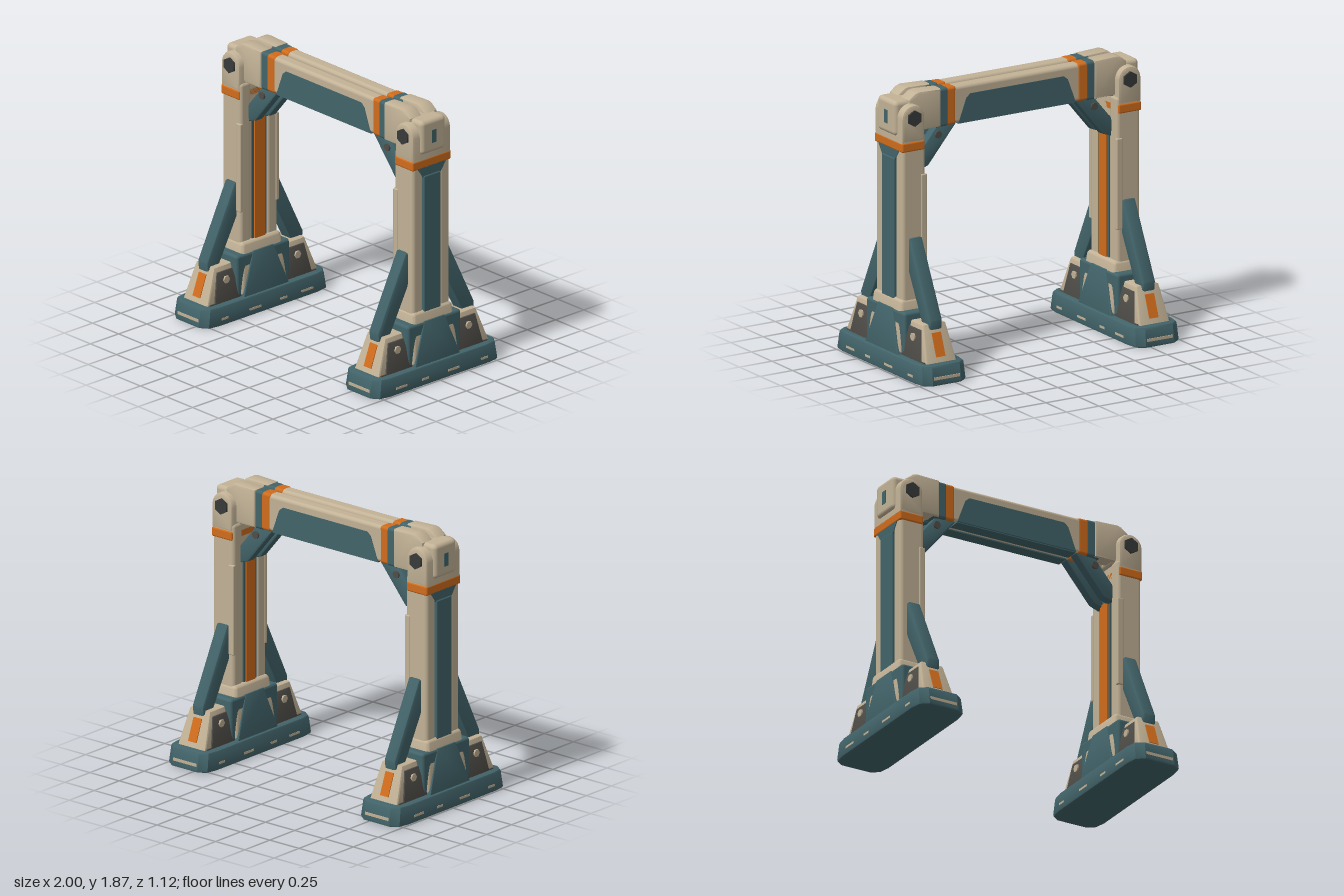
import * as THREE from 'three';
import { toCreasedNormals } from 'three/addons/utils/BufferGeometryUtils.js';
import { RoundedBoxGeometry } from 'three/addons/geometries/RoundedBoxGeometry.js';

const paint = (name, color) => {
  const m = new THREE.MeshStandardMaterial({ color });
  m.name = name;
  return m;
};

export function createModel() {
  const sand = paint('sand', 0xc2b296);
  const teal = paint('teal', 0x42646a);
  const orange = paint('orange', 0xd06c1c);
  const dark = paint('darkGrey', 0x504e49);
  const bolt = paint('boltGrey', 0x383a3a);

  const add = (parent, name, geo, mat) => {
    const mesh = new THREE.Mesh(geo, mat);
    mesh.name = name;
    parent.add(mesh);
  };

  // Rounded box given by its limits on each axis
  const box = (x0, x1, y0, y1, z0, z1, r = 0) => {
    const s = [x1 - x0, y1 - y0, z1 - z0];
    const g = r ? new RoundedBoxGeometry(...s, 3, r) : new THREE.BoxGeometry(...s);
    return g.translate((x0 + x1) / 2, (y0 + y1) / 2, (z0 + z1) / 2);
  };

  // Extruded outline, centred on its own depth, edges bevelled inward
  const outline = pts => new THREE.Shape(pts.map(p => new THREE.Vector2(...p)));
  const plate = (shape, depth, b = 0) => {
    const g = new THREE.ExtrudeGeometry(shape, {
      depth: depth - 2 * b, bevelEnabled: b > 0, bevelThickness: b, bevelSize: b,
      bevelOffset: -b, bevelSegments: 2, curveSegments: 12,
    });
    return g.translate(0, 0, -(depth - 2 * b) / 2);
  };
  // Outline given as (z, y), extruded along x
  const sidePlate = (pts, depth, b) => plate(outline(pts), depth, b).rotateY(-Math.PI / 2);

  // Scale x and z by height: full size at y0, (kx, kz) at y1
  const taper = (g, y0, y1, kx, kz = 1) => {
    const p = g.attributes.position;
    for (let i = 0; i < p.count; i++) {
      const t = (p.getY(i) - y0) / (y1 - y0);
      p.setX(i, p.getX(i) * (1 + (kx - 1) * t));
      p.setZ(i, p.getZ(i) * (1 + (kz - 1) * t));
    }
    return toCreasedNormals(g, 0.6);
  };

  const CX = 0.82;

  function makeLeg() {
    const leg = new THREE.Group();

    // Base pad with cut corners
    const foot = new THREE.Group();
    foot.name = 'foot';
    foot.position.x = CX;
    leg.add(foot);
    const pad = [[-0.11, -0.56], [0.11, -0.56], [0.165, -0.52], [0.18, -0.44], [0.18, 0.44], [0.165, 0.52],
      [0.11, 0.56], [-0.11, 0.56], [-0.165, 0.52], [-0.18, 0.44], [-0.18, -0.44], [-0.165, -0.52]];
    const padGeo = plate(outline(pad), 0.135, 0.015).rotateX(-Math.PI / 2).translate(0, 0.0675 - 0.015 + 0.015, 0);
    padGeo.computeBoundingBox();
    padGeo.translate(0, -padGeo.boundingBox.min.y, 0);
    add(foot, 'basePad', taper(padGeo, 0, 0.135, 0.96, 0.96), teal);
    add(foot, 'baseDeck', box(-0.125, 0.125, 0.12, 0.142, -0.47, 0.47), dark);

    // Worn paint on the pad edges
    for (const s of [1, -1]) {
      add(foot, 'endWear', box(-0.1, 0.1, 0.04, 0.06, s * 0.55 - 0.004, s * 0.55 + 0.004), sand);
      for (const [z, w] of [[0.34, 0.05], [0.13, 0.03], [-0.12, 0.05], [-0.39, 0.03]])
        add(foot, 'sideWear', box(s * 0.176 - 0.004, s * 0.176 + 0.004, 0.04, 0.055, z - w, z + w), sand);
    }

    // Central socket with trapezoid side guards
    add(foot, 'socketCore', box(-0.125, 0.125, 0.13, 0.42, -0.235, 0.235, 0.02), teal);
    const socket = taper(box(-0.145, 0.145, 0.13, 0.49, -0.205, 0.205, 0.03), 0.13, 0.49, 0.76, 0.84);
    add(foot, 'socket', socket, sand);
    const guard = [[-0.2, 0.13], [0.2, 0.13], [0.09, 0.42], [-0.09, 0.42]];
    add(foot, 'socketGuard', taper(sidePlate(guard, 0.312, 0.006), 0.13, 0.42, 0.81), teal);

    // Strut anchors, struts and their details at both ends
    const anchor = [[0.2, 0.13], [0.49, 0.13], [0.4, 0.375], [0.25, 0.375]];
    const cheek = [[0.19, 0.13], [0.43, 0.13], [0.385, 0.34], [0.25, 0.34]];
    const marker = [[0.465, 0.17], [0.481, 0.17], [0.425, 0.32], [0.409, 0.32]];
    const strut = [[0.13, 0.72], [0.33, 0.34], [0.42, 0.34], [0.425, 0.4], [0.18, 0.9], [0.13, 0.9]];
    for (const s of [1, -1]) {
      const end = pts => pts.map(([z, y]) => [s * z, y]);
      add(foot, 'strutAnchor', taper(sidePlate(end(anchor), 0.235, 0.015), 0.13, 0.375, 0.74), sand);
      add(foot, 'anchorCheek', taper(sidePlate(end(cheek), 0.255, 0.006), 0.13, 0.34, 0.78), dark);
      add(foot, 'anchorMarker', sidePlate(end(marker), 0.07), orange);
      add(foot, 'strut', toCreasedNormals(sidePlate(end(strut), 0.095, 0.014), 0.6), teal);
      const pin = new THREE.CylinderGeometry(0.027, 0.027, 0.235, 6).rotateZ(Math.PI / 2);
      add(foot, 'anchorBolt', pin.translate(0, 0.28, s * 0.315), sand);
    }

    // Column: two rounded rails with a core between them
    const column = new THREE.Group();
    column.name = 'column';
    leg.add(column);
    add(column, 'columnCore', box(0.745, 0.9, 0.4, 1.6, -0.1, 0.1), sand);
    for (const s of [1, -1]) {
      const [a, b] = s > 0 ? [0.07, 0.165] : [-0.165, -0.07];
      add(column, 'columnRail', box(0.735, 0.915, 0.4, 1.6, a, b, 0.025), sand);
      add(column, 'railRib', box(0.73, 0.775, 0.7, 1.32, s * 0.158 - 0.014, s * 0.158 + 0.014, 0.008), sand);
    }
    add(column, 'outerPanel', box(0.89, 0.926, 0.46, 1.43, -0.075, 0.075, 0.008), teal);
    const flare = [[-0.075, 1.42], [0.075, 1.42], [0.125, 1.49], [-0.125, 1.49]];
    add(column, 'outerFlare', sidePlate(flare, 0.035).translate(0.902, 0, 0), teal);
    add(column, 'innerPanel', box(0.735, 0.75, 0.46, 1.45, -0.065, 0.065), teal);
    add(column, 'innerStripe', box(0.726, 0.735, 0.48, 1.34, -0.045, 0.045), orange);
    add(column, 'collar', box(0.745, 0.921, 1.485, 1.55, -0.171, 0.171, 0.012), orange);

    // Shoulder: round-topped yoke, head block and beam sockets
    const shoulder = new THREE.Group();
    shoulder.name = 'shoulder';
    leg.add(shoulder);
    const yoke = new THREE.Shape();
    yoke.moveTo(0.745, 1.545);
    yoke.lineTo(0.92, 1.545);
    yoke.absarc(0.8325, 1.71, 0.0875, 0, Math.PI);
    yoke.closePath();
    add(shoulder, 'yoke', toCreasedNormals(plate(yoke, 0.34, 0.02), 0.6), sand);
    add(shoulder, 'headBlock', box(0.72, 0.94, 1.585, 1.82, -0.11, 0.11, 0.03), sand);
    add(shoulder, 'headSlot', box(0.936, 0.943, 1.655, 1.745, -0.02, 0.02), teal);
    const sleeve = [[0.59, 1.6], [0.84, 1.6], [0.84, 1.82], [0.79, 1.858], [0.76, 1.867], [0.59, 1.86]];
    for (const s of [1, -1]) {
      const sleeveGeo = toCreasedNormals(plate(outline(sleeve), 0.112, 0.018), 0.6);
      add(shoulder, 'beamSleeve', sleeveGeo.translate(0, 0, s * 0.068), sand);
      const hub = new THREE.CylinderGeometry(0.055, 0.055, 0.03, 6).rotateX(Math.PI / 2);
      add(shoulder, 'pivotBolt', hub.translate(0.83, 1.71, s * 0.168), bolt);
    }
    add(shoulder, 'sleeveWeb', box(0.61, 0.8, 1.62, 1.81, -0.03, 0.03), sand);

    // Diagonal corner braces under the beams
    const brace = [[0.45, 1.61], [0.67, 1.345], [0.74, 1.32], [0.75, 1.43], [0.6, 1.61]];
    for (const s of [1, -1]) {
      const braceGeo = plate(outline(brace), 0.07, 0.012);
      add(leg, 'cornerBrace', toCreasedNormals(braceGeo, 0.6).translate(0, 0, s * 0.06), teal);
      const pin = new THREE.CylinderGeometry(0.026, 0.026, 0.02, 8).rotateX(Math.PI / 2);
      add(leg, 'braceBolt', pin.translate(0.6, 1.545, s * 0.098), dark);
    }
    return leg;
  }

  const model = new THREE.Group();
  model.name = 'gantryFrame';
  const left = makeLeg();
  left.name = 'leftLeg';
  const right = makeLeg();
  right.name = 'rightLeg';
  right.rotation.y = Math.PI;
  model.add(left, right);

  // Twin top beams with painted bands, face panel and underside
  const panel = [[-0.45, 1.605], [0.45, 1.605], [0.39, 1.765], [0.36, 1.79], [-0.36, 1.79], [-0.39, 1.765]];
  for (const s of [1, -1]) {
    const beam = new THREE.Group();
    beam.name = s > 0 ? 'frontBeam' : 'backBeam';
    beam.position.z = s * 0.061;
    model.add(beam);
    add(beam, 'beamBody', box(-0.62, 0.62, 1.6, 1.853, -0.047, 0.047, 0.025), sand);
    add(beam, 'beamPanel', plate(outline(panel), 0.008).translate(0, 0, s * 0.047), teal);
    add(beam, 'beamUnderside', box(-0.45, 0.45, 1.596, 1.604, -0.045, 0.045), teal);
    for (const e of [1, -1]) {
      const orangeX = e > 0 ? [0.465, 0.57] : [-0.57, -0.465];
      const tealX = e > 0 ? [0.525, 0.64] : [-0.64, -0.525];
      add(beam, 'orangeBand', box(...orangeX, 1.597, 1.856, -0.05, 0.05, 0.02), orange);
      add(beam, 'tealBand', box(...tealX, 1.595, 1.858, -0.052, 0.052, 0.02), teal);
    }
  }
  return model;
}
